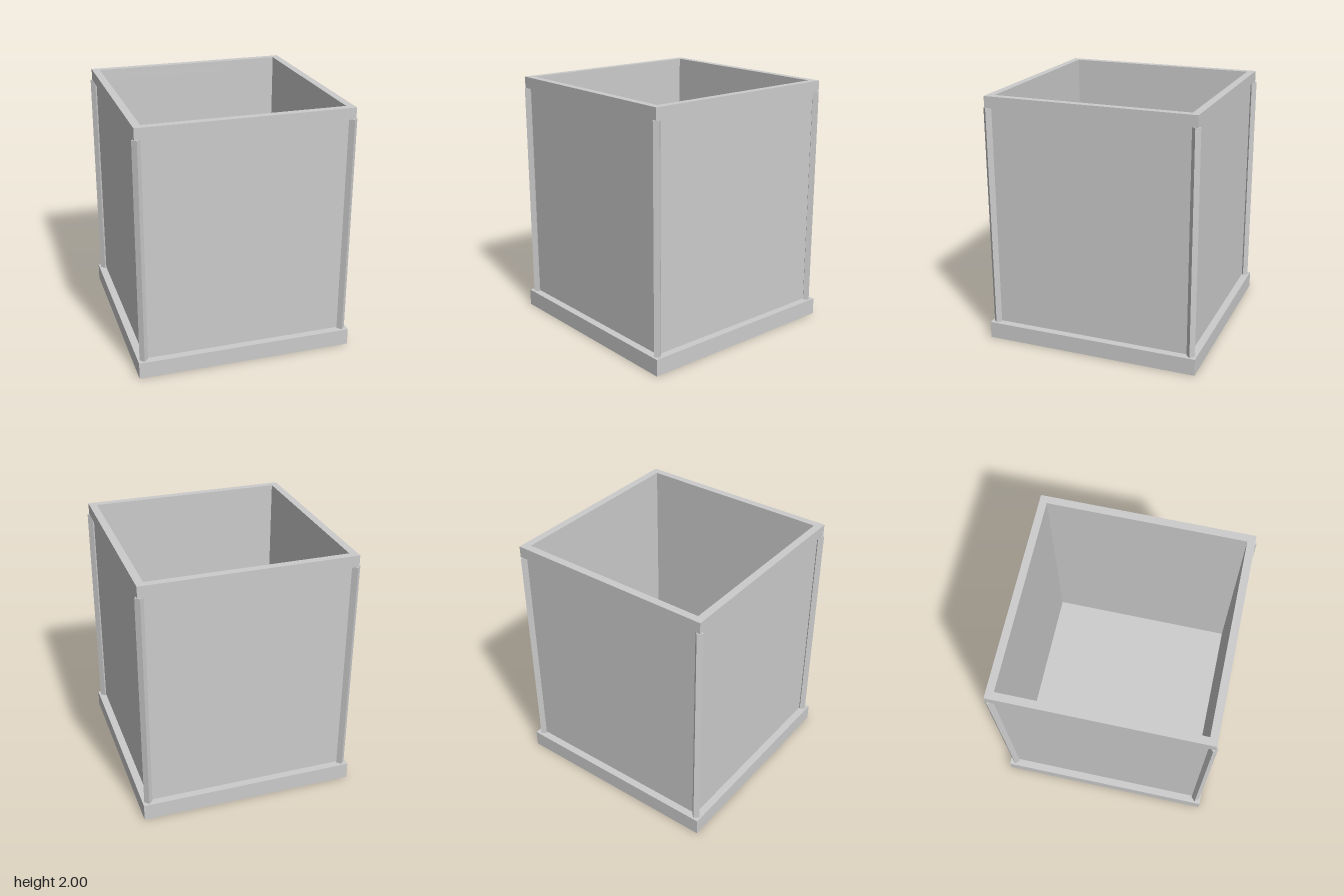
import * as THREE from 'three';

const BASE_TOP = 0.135, RIM_BOTTOM = 1.91, TOP = 2;
const INNER = 0.775;

export function createModel() {
  const group = new THREE.Group();
  const material = new THREE.MeshStandardMaterial({ color: 0xcccccc, flatShading: true });

  const add = (name, geometry, x, y, z) => {
    const mesh = new THREE.Mesh(geometry, material);
    mesh.name = name;
    mesh.position.set(x, y, z);
    group.add(mesh);
    return mesh;
  };

  // Square shape of the given half width
  const square = (Type, h) => new Type([
    new THREE.Vector2(-h, -h), new THREE.Vector2(h, -h),
    new THREE.Vector2(h, h), new THREE.Vector2(-h, h),
  ]);

  // Hollow square frame between two heights
  const frame = (name, outer, bottom, top) => {
    const shape = square(THREE.Shape, outer);
    shape.holes.push(square(THREE.Path, INNER));
    const geometry = new THREE.ExtrudeGeometry(shape, { depth: top - bottom, bevelEnabled: false });
    geometry.rotateX(-Math.PI / 2);
    add(name, geometry, 0, bottom, 0);
  };

  // Solid plinth that closes the bottom
  add('base', new THREE.BoxGeometry(1.73, BASE_TOP, 1.73), 0, BASE_TOP / 2, 0);

  // Four walls, then the overhanging rim
  frame('walls', 0.805, BASE_TOP, RIM_BOTTOM);
  frame('rim', 0.835, RIM_BOTTOM, TOP);

  // Square corner posts turned by 45 degrees
  const postHeight = RIM_BOTTOM - BASE_TOP;
  const post = new THREE.BoxGeometry(0.047, postHeight, 0.047);
  for (const sx of [-1, 1]) {
    for (const sz of [-1, 1]) {
      const name = (sz > 0 ? 'front' : 'back') + (sx > 0 ? 'Left' : 'Right') + 'Post';
      add(name, post, sx * 0.818, BASE_TOP + postHeight / 2, sz * 0.818).rotation.y = Math.PI / 4;
    }
  }

  return group;
}
